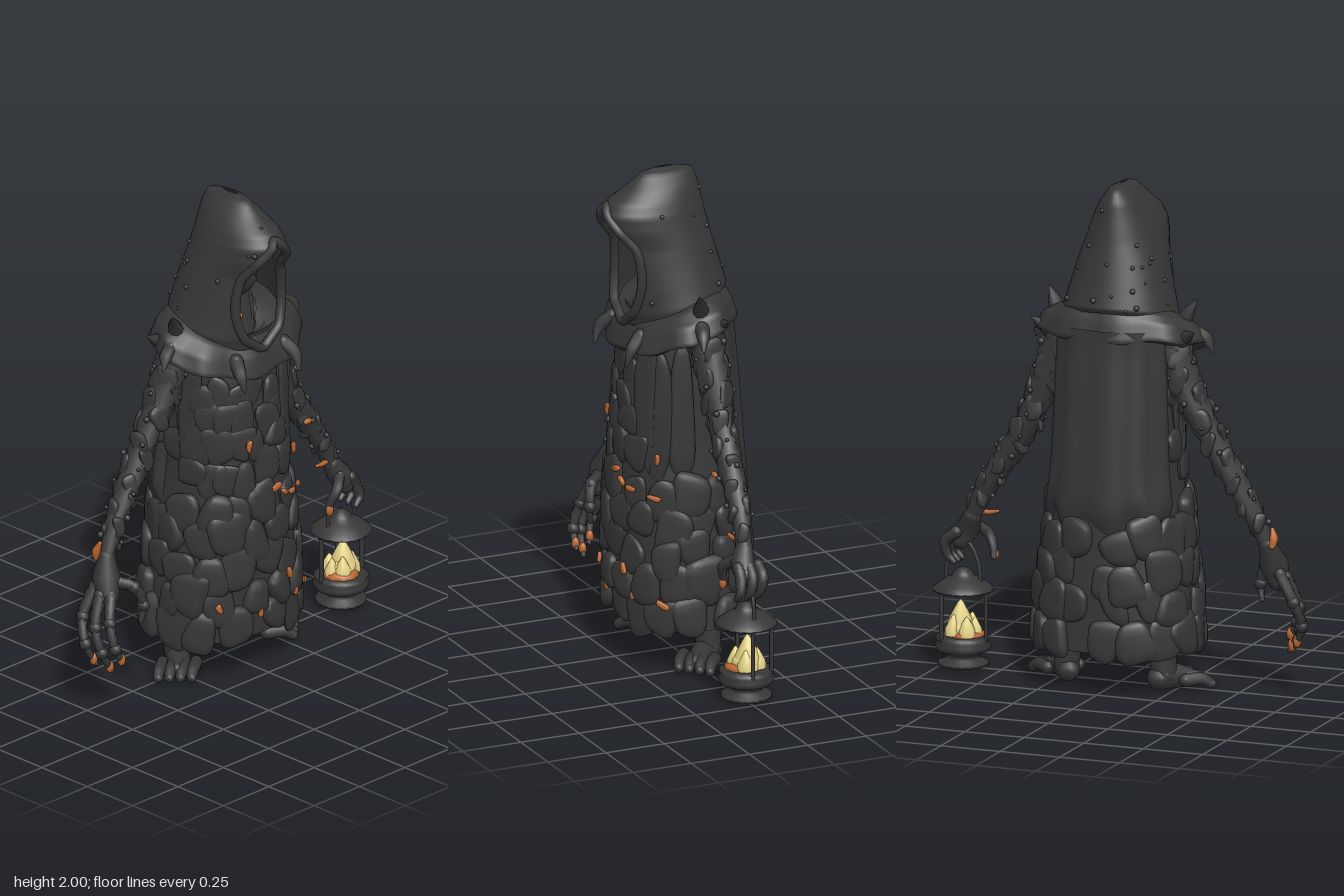
import * as THREE from 'three';

const V = (x, y, z) => new THREE.Vector3(x, y, z);
const mat = (name, color, side = THREE.FrontSide) => Object.assign(new THREE.MeshStandardMaterial({ color, side }), { name });
const lerp = THREE.MathUtils.lerp;

export function createModel() {
  const root = new THREE.Group();
  root.name = 'hoodedFigure';
  const dark = mat('charcoal', 0x363636, THREE.DoubleSide);
  const ember = mat('ember', 0xb8642f);
  const flameMat = mat('flame', 0xe2d084);

  let seed = 7;
  const rnd = (a = 0, b = 1) => {
    seed = (seed * 16807) % 2147483647;
    return a + (b - a) * (seed / 2147483647);
  };
  const group = (name, parent = root) => {
    const g = new THREE.Group();
    g.name = name;
    parent.add(g);
    return g;
  };
  const add = (parent, name, geo, m = dark, p = null) => {
    const mesh = new THREE.Mesh(geo, m);
    mesh.name = name;
    if (p) mesh.position.copy(p);
    parent.add(mesh);
    return mesh;
  };
  // Sheet from a function of u and v in 0..1
  const sheet = (nu, nv, fn) => {
    const pos = [], idx = [];
    for (let j = 0; j <= nv; j++) for (let i = 0; i <= nu; i++) pos.push(...fn(i / nu, j / nv).toArray());
    for (let j = 0; j < nv; j++) for (let i = 0; i < nu; i++) {
      const a = j * (nu + 1) + i, b = a + nu + 1;
      idx.push(a, b, a + 1, a + 1, b, b + 1);
    }
    const g = new THREE.BufferGeometry();
    g.setAttribute('position', new THREE.Float32BufferAttribute(pos, 3));
    g.setIndex(idx);
    g.computeVertexNormals();
    return g;
  };
  // Interpolates rows of numbers, t in 0..1
  const sample = (rows, t) => {
    const f = t * (rows.length - 1), i = Math.min(Math.floor(f), rows.length - 2);
    return rows[i].map((v, k) => lerp(v, rows[i + 1][k], f - i));
  };
  // Tapered limb through points, with rounded ends
  const ball = new THREE.SphereGeometry(1, 10, 8);
  const limb = (parent, name, pts, radii, m = dark, knobs = 0) => {
    const curve = new THREE.CatmullRomCurve3(pts.map(p => V(...p))), n = pts.length * 5, sides = 9;
    const g = new THREE.TubeGeometry(curve, n, 1, sides), P = g.attributes.position, q = V(0, 0, 0);
    for (let i = 0; i <= n; i++) {
      const c = curve.getPointAt(i / n), r = sample(radii.map(v => [v]), i / n)[0];
      for (let j = 0; j <= sides; j++) {
        const k = i * (sides + 1) + j;
        q.fromBufferAttribute(P, k).sub(c).multiplyScalar(r * (1 + knobs * Math.sin(i * 2.1 + (j % sides) * 2.8))).add(c);
        P.setXYZ(k, q.x, q.y, q.z);
      }
    }
    add(parent, name, g, m);
    [[0, 0], [1, radii.length - 1]].forEach(([t, k]) => add(parent, name + 'End', ball, m, curve.getPointAt(t)).scale.setScalar(radii[k]));
    return curve;
  };
  // Boxy pebbles used for stone plates, each skewed differently
  const slabs = [0, 1, 2, 3].map(k => {
    const g = new THREE.SphereGeometry(1, 12, 9), P = g.attributes.position;
    const e = v => Math.sign(v) * Math.abs(v) ** 0.65;
    for (let i = 0; i < P.count; i++) {
      const x = e(P.getX(i)), y = e(P.getY(i)), z = e(P.getZ(i));
      P.setXYZ(i, x * (1 + 0.25 * y * Math.sin(k * 2 + 1)) + 0.12 * y * y * Math.cos(k * 3), y * (1 + 0.22 * x * Math.cos(k * 2.3)), z * (1 + 0.3 * x * Math.sin(k * 1.7)));
    }
    g.computeVertexNormals();
    return g;
  });
  const plate = (parent, name, p, n, w, h, d, m = dark, spin = 0) => {
    const s = add(parent, name, slabs[parent.children.length % 4], m, p);
    s.lookAt(p.clone().add(n));
    s.rotateZ(spin);
    s.scale.set(w, h, d);
  };

  // Robe: y, back x, front x, half width
  const robeRows = [[0.15, -0.27, 0.225, 0.32], [0.4, -0.265, 0.24, 0.3], [0.65, -0.25, 0.24, 0.265],
    [0.9, -0.235, 0.225, 0.235], [1.15, -0.215, 0.21, 0.225], [1.4, -0.19, 0.17, 0.215]];
  const sp = v => Math.sign(v) * Math.abs(v) ** 0.85;
  const robePoint = (y, a, off = 0) => {
    const [, b, f, w] = sample(robeRows, THREE.MathUtils.clamp((y - 0.15) / 1.25, 0, 1));
    return V((b + f) / 2 + ((f - b) / 2 + off) * sp(Math.cos(a)), y, (w + off) * sp(Math.sin(a)));
  };
  const robeNormal = a => V(Math.cos(a) * 1.15, 0.03, Math.sin(a)).normalize();
  add(root, 'robe', sheet(48, 20, (u, v) => robePoint(lerp(0.17, 1.43, v), Math.PI + u * Math.PI * 2)));

  // Stone scales: uneven rows below, smaller ones on the chest
  const scales = group('stoneScales');
  [0.23, 0.35, 0.48, 0.61, 0.73].forEach((y, r) => {
    for (let i = 0; i < 14; i++) {
      const a = (i + (r % 2) / 2 + rnd(-0.22, 0.22)) / 14 * Math.PI * 2, yy = y + rnd(-0.035, 0.035) * (r ? 1 : 0.5);
      if (r < 4 || Math.cos(a) > -0.25) plate(scales, 'scale', robePoint(yy, a, 0.002), robeNormal(a), rnd(0.05, 0.082), rnd(0.068, 0.1), rnd(0.018, 0.036), dark, rnd(-0.3, 0.3));
    }
  });
  [0.86, 0.98, 1.09, 1.2].forEach((y, r) => {
    for (let i = 0; i < 6; i++) {
      const a = -0.4 + (i + (r % 2) / 2) * 0.36 + rnd(-0.08, 0.08);
      plate(scales, 'chestScale', robePoint(y + rnd(-0.03, 0.03), a), robeNormal(a), rnd(0.045, 0.07), rnd(0.06, 0.09), rnd(0.012, 0.026), dark, rnd(-0.4, 0.4));
    }
  });
  [[-0.6, 1.08], [-0.92, 1.04], [-1.3, 1.06], [1.4, 1.1]].forEach(([a, y]) => plate(scales, 'clothFold', robePoint(y, a, 0.004), robeNormal(a), 0.05, 0.27, 0.018));

  // Back cape standing off the robe, with a soft wavy hem
  add(root, 'cape', sheet(32, 12, (u, v) => {
    const a = lerp(1.85, Math.PI * 2 - 1.85, u), hem = 0.67 + 0.03 * Math.sin(u * 25);
    return robePoint(lerp(hem, 1.45, v), a, u === 0 || u === 1 || v === 0 ? 0 : 0.026 + 0.004 * Math.sin(u * 30));
  }));

  // Glowing chips between the stones: z, y, half width, half height, tilt
  const chips = group('emberChips');
  [[0.085, 0.995, 0.01, 0.025, -0.2], [-0.03, 0.79, 0.026, 0.013, 0.3], [-0.07, 0.755, 0.022, 0.01, -0.7], [-0.12, 0.735, 0.024, 0.01, -0.1],
    [-0.2, 0.715, 0.03, 0.01, -0.2], [-0.195, 0.87, 0.01, 0.022, 0], [-0.095, 0.4, 0.012, 0.024, 0.3], [-0.25, 0.285, 0.03, 0.012, -0.5],
    [0.21, 0.33, 0.012, 0.02, 0.4], [0.05, 0.28, 0.01, 0.02, 0], [-0.14, 0.3, 0.01, 0.016, 0.2]].forEach(([z, y, w, h, spin]) => {
    const a = Math.asin(Math.sign(z) * Math.abs(z / sample(robeRows, (y - 0.15) / 1.25)[3]) ** (1 / 0.85));
    plate(chips, 'chip', robePoint(y, a, 0.03), robeNormal(a), w, h, 0.009, ember, spin);
  });

  // Mantle: radius x, radius z, height
  const mantleRows = [[0.1, 0.13, 1.52], [0.19, 0.25, 1.49], [0.212, 0.315, 1.45], [0.235, 0.345, 1.38], [0.2, 0.27, 1.36], [0.15, 0.2, 1.39]];
  add(root, 'mantle', sheet(48, 20, (u, v) => {
    const a = Math.PI + u * Math.PI * 2, [rx, rz, y] = sample(mantleRows, v), c = Math.cos(a);
    const k = 1 + 0.03 * Math.sin(a * 9) * Math.sin(v * Math.PI);
    return V(0.015 + rx * k * c, y - 0.065 * c - 0.03 * c * c + 0.012 * Math.sin(a * 7 + v * 5) * v, rz * k * Math.sin(a));
  }));
  const tips = group('mantleTips');
  for (const s of [1, -1]) {
    limb(tips, 'thorn', [[0.0, 1.45, s * 0.255], [0.01, 1.5, s * 0.28], [0.03, 1.55, s * 0.31]], [0.04, 0.026, 0.003]);
    limb(tips, 'droopingTip', [[0.02, 1.42, s * 0.31], [0.03, 1.4, s * 0.345], [0.04, 1.345, s * 0.372]], [0.03, 0.026, 0.004]);
    limb(tips, 'shoulderTip', [[-0.06, 1.41, s * 0.28], [-0.07, 1.43, s * 0.315], [-0.08, 1.445, s * 0.34]], [0.035, 0.022, 0.004]);
    limb(tips, 'frontTip', [[0.2, 1.36, s * 0.13], [0.245, 1.32, s * 0.15], [0.268, 1.255, s * 0.15]], [0.03, 0.025, 0.006]);
  }

  // Hood: y, back x, front x, half width, opening half width, forward droop
  const hoodRows = [[1.998, 0.0, 0.08, 0.008, 0, 0], [1.98, -0.08, 0.14, 0.045, 0, 0], [1.93, -0.1, 0.2, 0.088, 0, 0],
    [1.88, -0.11, 0.275, 0.118, 0, 0], [1.835, -0.12, 0.3, 0.138, 0.03, 0], [1.78, -0.132, 0.268, 0.152, 0.078, 0],
    [1.71, -0.15, 0.208, 0.17, 0.105, 0], [1.64, -0.17, 0.192, 0.19, 0.125, 0.01], [1.57, -0.19, 0.195, 0.215, 0.125, 0.05],
    [1.535, -0.2, 0.212, 0.232, 0.09, 0.1], [1.52, -0.19, 0.215, 0.222, 0, 0.14], [1.53, -0.14, 0.16, 0.15, 0, 0.12]];
  const hoodPoint = (u, v) => {
    const [y, b, f, w, o, tilt] = sample(hoodRows, v), end = Math.PI - Math.asin(Math.min(1, o / w));
    const a = lerp(-end, end, u), c = -Math.cos(a);
    const x = (b + f) / 2 + (f - b) / 2 * (c > 0 ? c / -Math.cos(end) : c);
    return V(x, y - tilt * (x + 0.2) / 0.42, w * Math.sin(a));
  };
  const hood = group('hood');
  add(hood, 'hoodCloth', sheet(40, 44, hoodPoint));
  const rim = [];
  for (let i = 0; i <= 12; i++) rim.push(hoodPoint(1, lerp(3.3, 10, i / 12) / 11));
  for (let i = 11; i > 0; i--) rim.push(hoodPoint(0, lerp(3.3, 10, i / 12) / 11));
  add(hood, 'hoodRim', new THREE.TubeGeometry(new THREE.CatmullRomCurve3(rim, true), 72, 0.019, 8, true));
  for (let i = 0; i < 26; i++) add(hood, 'hoodPebble', ball, dark, hoodPoint(rnd(0.03, 0.97), rnd(0.2, 0.85))).scale.setScalar(rnd(0.006, 0.012));

  // Masked face, narrowing to the chin
  const face = group('face');
  const headGeo = new THREE.SphereGeometry(1, 24, 18);
  for (let i = 0, P = headGeo.attributes.position; i < P.count; i++) {
    const y = P.getY(i), k = y < 0 ? 1 + y * 0.45 : 1;
    P.setXYZ(i, P.getX(i) * 0.09, y * 0.14, P.getZ(i) * 0.108 * k);
  }
  headGeo.computeVertexNormals();
  add(face, 'head', headGeo, dark, V(0.065, 1.7, 0));
  plate(face, 'mask', V(0.115, 1.645, 0), V(1, -0.1, 0), 0.042, 0.042, 0.036, dark, Math.PI / 4);
  for (const s of [1, -1]) {
    const eye = add(face, 'eye', ball, ember, V(0.14, 1.715, s * 0.064));
    eye.scale.set(0.014, 0.018, 0.03);
    eye.rotation.set(s * -0.15, s * -0.35, 0);
    limb(face, 'brow', [[0.158, 1.735, s * 0.015], [0.142, 1.75, s * 0.06], [0.1, 1.75, s * 0.095]], [0.01, 0.01, 0.008]);
    limb(face, 'neckCord', [[0.07, 1.6, s * 0.05], [0.1, 1.5, s * 0.045], [0.13, 1.4, s * 0.02]], [0.02, 0.016, 0.014]);
  }
  add(face, 'neck', new THREE.CylinderGeometry(0.062, 0.11, 0.24, 14), dark, V(0.035, 1.52, 0));
  add(face, 'throatEmber', ball, ember, V(0.125, 1.5, 0.03)).scale.set(0.008, 0.013, 0.008);

  // Arms with knobs and overlapping bark plates
  const arm = (name, pts) => {
    const g = group(name), c = limb(g, 'armCore', pts, [0.075, 0.066, 0.05, 0.052, 0.042, 0.03], dark, 0.1);
    for (let i = 0; i < 24; i++) {
      const t = i / 25, p = c.getPointAt(t), a = i * 2.4, r = lerp(0.055, 0.026, t);
      const n = V(Math.cos(a), 0.15, Math.sin(a) * 0.85).normalize();
      plate(g, 'barkPlate', p.clone().addScaledVector(n, r), n, lerp(0.042, 0.02, t), lerp(0.06, 0.038, t), 0.016, dark, rnd(-0.4, 0.4));
      add(g, 'knob', ball, dark, p.addScaledVector(V(Math.cos(a * 1.7), 0.2, Math.sin(a * 1.7)), r + 0.022)).scale.setScalar(rnd(0.007, 0.014));
    }
    return g;
  };
  const left = arm('leftArm', [[-0.03, 1.37, 0.23], [-0.035, 1.2, 0.3], [-0.04, 1.02, 0.4], [-0.035, 0.85, 0.5], [-0.03, 0.72, 0.575], [-0.02, 0.6, 0.63]]);
  const right = arm('rightArm', [[-0.03, 1.37, -0.23], [-0.035, 1.2, -0.3], [-0.04, 1.02, -0.37], [-0.035, 0.86, -0.47], [-0.03, 0.74, -0.55], [-0.02, 0.6, -0.62]]);

  // Open left hand with long clawed fingers
  limb(left, 'palm', [[-0.02, 0.61, 0.625], [0.0, 0.53, 0.645], [0.02, 0.46, 0.655]], [0.036, 0.058, 0.042]);
  [[[-0.03, 0.5, 0.68], [-0.035, 0.39, 0.74], [0.0, 0.29, 0.76], [0.025, 0.2, 0.725]],
    [[0.01, 0.48, 0.69], [0.03, 0.36, 0.735], [0.06, 0.26, 0.73], [0.07, 0.17, 0.68]],
    [[0.04, 0.48, 0.66], [0.075, 0.38, 0.7], [0.105, 0.28, 0.7], [0.11, 0.21, 0.66]],
    [[0.03, 0.52, 0.62], [0.085, 0.5, 0.575], [0.105, 0.42, 0.545], [0.1, 0.355, 0.555]]].forEach((p, i) => {
    limb(left, i < 3 ? 'finger' : 'thumb', p, [0.024, 0.021, 0.018, 0.01], dark, 0.15);
    p.slice(1, 3).forEach(k => add(left, 'knuckle', ball, dark, V(...k)).scale.setScalar(0.026));
    if (i < 3) add(left, 'fingerEmber', ball, ember, V(...p[3]).lerp(V(...p[2]), 0.25)).scale.set(0.016, 0.026, 0.016);
  });
  limb(left, 'wristEmber', [[-0.045, 0.61, 0.655], [-0.04, 0.64, 0.66], [-0.03, 0.675, 0.65]], [0.012, 0.018, 0.008], ember);

  // Right hand curled round the lantern handle
  limb(right, 'palm', [[-0.02, 0.61, -0.615], [0.0, 0.55, -0.645], [0.0, 0.51, -0.67]], [0.036, 0.05, 0.04]);
  [-0.055, -0.015, 0.03].forEach((x, i) => limb(right, 'finger',
    [[x, 0.55, -0.67], [x, 0.51, -0.715 + i * 0.01], [x + 0.01, 0.455, -0.71], [x + 0.015, 0.425, -0.685]], [0.024, 0.023, 0.019, 0.012], dark, 0.12));
  limb(right, 'thumb', [[0.02, 0.57, -0.62], [0.05, 0.53, -0.575], [0.04, 0.48, -0.55], [0.03, 0.44, -0.545]], [0.022, 0.022, 0.018, 0.012]);
  add(right, 'thumbEmber', ball, ember, V(0.04, 0.45, -0.546)).scale.set(0.014, 0.026, 0.018);
  limb(right, 'wristEmber', [[-0.01, 0.63, -0.575], [-0.005, 0.63, -0.545], [0, 0.635, -0.515]], [0.01, 0.01, 0.006], ember);
  add(right, 'forearmEmber', ball, ember, V(0.025, 0.86, -0.44)).scale.set(0.01, 0.012, 0.022);

  // Lantern
  const lantern = group('lantern');
  lantern.position.set(-0.01, 0.012, -0.658);
  const lathe = (name, pts) => add(lantern, name, new THREE.LatheGeometry(pts.map(p => new THREE.Vector2(...p)), 20));
  lathe('base', [[0, 0], [0.1, 0], [0.1, 0.012], [0.065, 0.025], [0.065, 0.04], [0.105, 0.06], [0.112, 0.08], [0.1, 0.095], [0.108, 0.11], [0.085, 0.118], [0, 0.11]]);
  lathe('roof', [[0, 0.3], [0.115, 0.296], [0.122, 0.306], [0.1, 0.322], [0.07, 0.345], [0.045, 0.352], [0.04, 0.366], [0.02, 0.385], [0, 0.39]]);
  for (const a of [1.65, -1.4, -2.5])
    add(lantern, 'post', new THREE.CylinderGeometry(0.009, 0.009, 0.2, 8), dark, V(0.1 * Math.cos(a), 0.2, 0.1 * Math.sin(a)));
  limb(lantern, 'handle', [[0, 0.31, 0.075], [0, 0.42, 0.062], [0, 0.49, 0.02], [0, 0.49, -0.02], [0, 0.42, -0.062], [0, 0.31, -0.075]], [0.008, 0.008]);
  // Lumpy flame on a low bed of coals: x, z, radius, height
  add(lantern, 'coals', ball, ember, V(0.006, 0.118, 0.012)).scale.set(0.078, 0.034, 0.074);
  add(lantern, 'flameBody', ball, flameMat, V(0, 0.145, 0)).scale.set(0.062, 0.04, 0.064);
  [[0, -0.01, 0.055, 0.14], [0.035, 0.025, 0.035, 0.085], [-0.035, 0.03, 0.035, 0.08], [0.02, -0.04, 0.035, 0.085], [-0.035, -0.025, 0.035, 0.085], [0, 0.05, 0.03, 0.075]]
    .forEach(([x, z, r, h]) => {
      add(lantern, 'flame', new THREE.LatheGeometry([[r, 0], [r * 0.95, h * 0.35], [r * 0.5, h * 0.7], [r * 0.22, h * 0.9], [0, h]].map(p => new THREE.Vector2(...p)), 9), flameMat, V(x, 0.12, z));
    });

  // Legs and splayed bare feet
  for (const s of [1, -1]) {
    const g = group(s > 0 ? 'leftLeg' : 'rightLeg');
    limb(g, 'shin', [[-0.04, 0.6, s * 0.15], [-0.05, 0.35, s * 0.18], [-0.055, 0.06, s * 0.205]], [0.075, 0.065, 0.05]);
    limb(g, 'foot', [[-0.075, 0.046, s * 0.19], [-0.02, 0.048, s * 0.23], [0.035, 0.034, s * 0.29]], [0.046, 0.05, 0.034]);
    for (let i = 0; i < 4; i++) {
      const t = i / 3, x = lerp(-0.02, 0.07, t), z = lerp(0.33, 0.235, t);
      limb(g, 'toe', [[x - 0.025, 0.04, s * (z - 0.04)], [x + 0.015, 0.042, s * (z + 0.015)], [x + 0.035, 0.022, s * (z + 0.045)]], [0.026, 0.026, 0.02]);
    }
  }
  return root;
}
